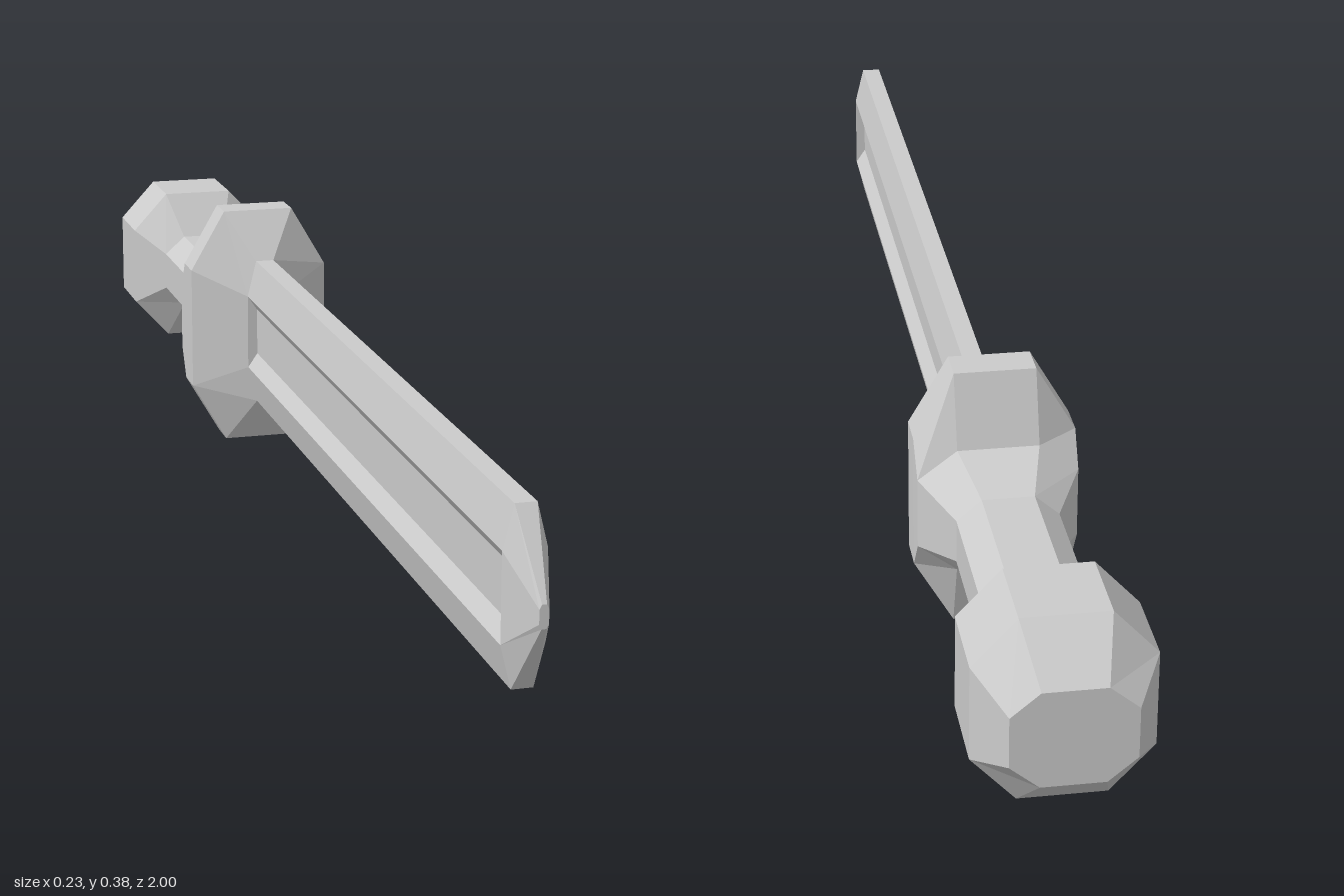
import * as THREE from 'three';

const CY = 0.189; // height of the sword's long axis

// Octagonal section: half extents hx, hy and half flats fx (top), fy (side)
const oct = (z, hx, hy, fx, fy) => ({
  z,
  pts: [[hx, -fy], [hx, fy], [fx, hy], [-fx, hy], [-hx, fy], [-hx, -fy], [-fx, -hy], [fx, -hy]],
});

// Blade section with a groove pressed into each side
function grooved(z) {
  const half = [[0.014, -0.115], [0.028, -0.058], [0.013, -0.036], [0.013, 0.036], [0.028, 0.058], [0.014, 0.115]];
  return { z, pts: [...half, ...half.map(([x, y]) => [-x, -y])] };
}

// Flat-faced skin through sections ordered from back (-z) to front (+z)
function loft(name, sections, capBack, capFront) {
  const pos = [];
  const tri = (...ps) => ps.forEach(p => pos.push(...p));
  const rings = sections.map(s => s.pts.map(([x, y]) => [x, CY + y, s.z]));
  for (let k = 0; k + 1 < rings.length; k++) {
    const a = rings[k], b = rings[k + 1], n = a.length;
    for (let i = 0; i < n; i++) {
      const j = (i + 1) % n;
      tri(a[i], a[j], b[j]);
      tri(a[i], b[j], b[i]);
    }
  }
  const back = rings[0], front = rings[rings.length - 1];
  if (capBack) for (let i = 1; i + 1 < back.length; i++) tri(back[0], back[i + 1], back[i]);
  if (capFront) for (let i = 1; i + 1 < front.length; i++) tri(front[0], front[i], front[i + 1]);
  const geo = new THREE.BufferGeometry();
  geo.setAttribute('position', new THREE.Float32BufferAttribute(pos, 3));
  geo.computeVertexNormals();
  const mesh = new THREE.Mesh(geo, new THREE.MeshStandardMaterial({ color: 0xcccccc, flatShading: true }));
  mesh.name = name;
  return mesh;
}

export function createModel() {
  const group = new THREE.Group();
  group.name = 'shortSword';

  // Sections shared by neighbouring parts
  const bladeRoot = oct(-0.327, 0.028, 0.115, 0.014, 0.058);
  const bladeEnd = oct(0.93, 0.028, 0.115, 0.014, 0.058);
  const flare = oct(-0.455, 0.108, 0.09, 0.055, 0.05);
  const gripFront = oct(-0.535, 0.068, 0.059, 0.035, 0.03);
  const gripBack = oct(-0.772, 0.068, 0.059, 0.035, 0.03);

  // Blade with its fullers, closed at both ends by the tip and the guard
  group.add(loft('blade', [grooved(-0.327), grooved(0.93)]));
  group.add(loft('bladeTip', [bladeEnd, oct(1, 0.006, 0.015, 0.003, 0.009)], true, true));

  // Guard, widest in the middle
  group.add(loft('guard', [
    flare,
    oct(-0.423, 0.109, 0.188, 0.055, 0.095),
    oct(-0.372, 0.109, 0.188, 0.055, 0.095),
    bladeRoot,
  ], false, true));

  // Grip, flaring into the guard
  group.add(loft('grip', [gripBack, gripFront, flare]));

  // Faceted pommel
  group.add(loft('pommel', [
    oct(-1, 0.077, 0.065, 0.04, 0.034),
    oct(-0.933, 0.113, 0.126, 0.056, 0.064),
    oct(-0.82, 0.113, 0.126, 0.056, 0.064),
    gripBack,
  ], true, false));

  return group;
}
